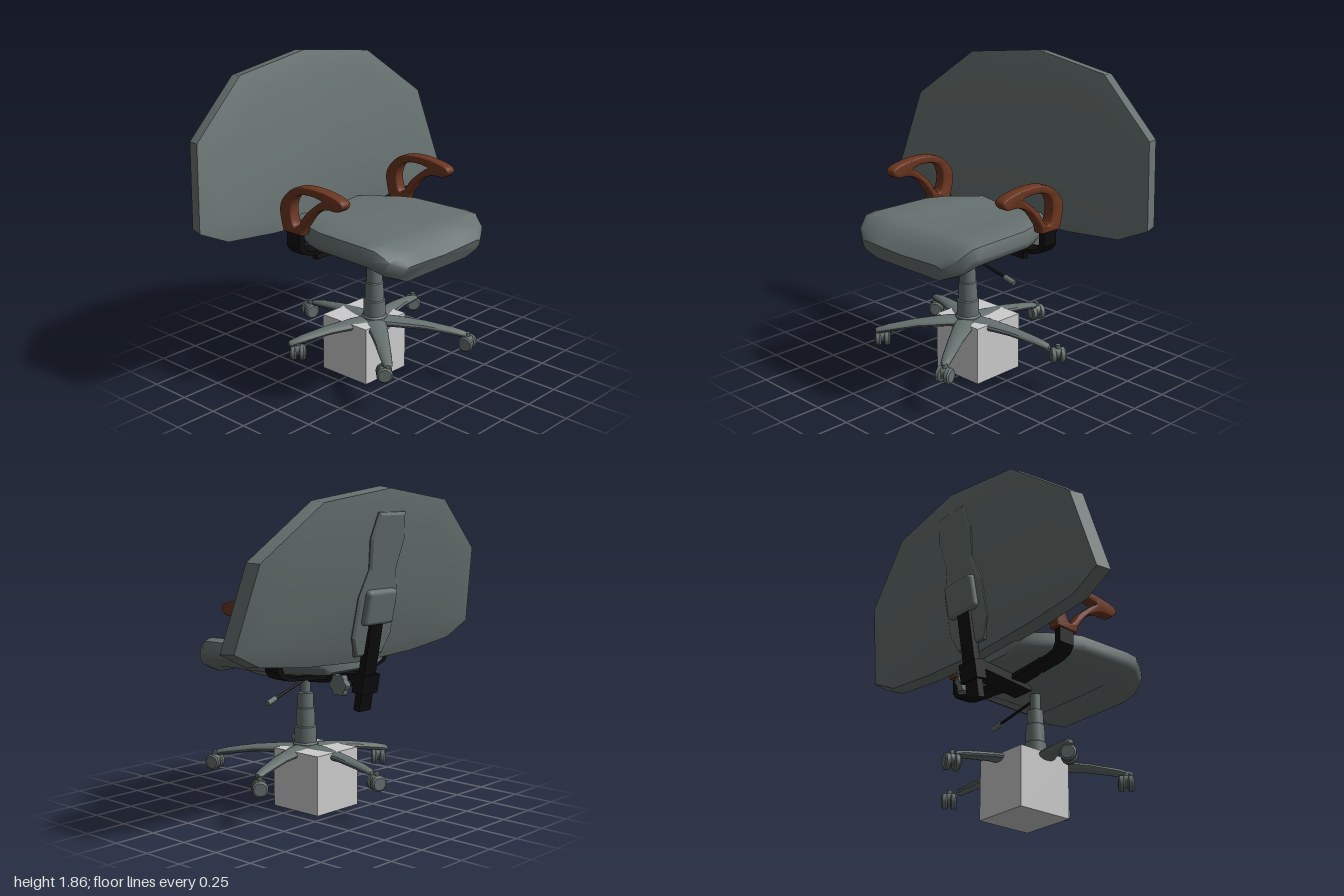
import * as THREE from 'three';
import { toCreasedNormals } from 'three/addons/utils/BufferGeometryUtils.js';
import { RoundedBoxGeometry } from 'three/addons/geometries/RoundedBoxGeometry.js';

const mat = (name, color) => {
  const m = new THREE.MeshStandardMaterial({ color });
  m.name = name;
  return m;
};

// Skin a list of equal-length closed rings, capped at both ends.
function loft(rings, crease = 0.6) {
  const n = rings[0].length, pos = rings.flat(2), idx = [];
  for (let i = 0; i < rings.length - 1; i++) {
    for (let j = 0; j < n; j++) {
      const a = i * n + j, b = i * n + (j + 1) % n;
      idx.push(a, b, b + n, a, b + n, a + n);
    }
  }
  const end = (rings.length - 1) * n;
  for (let j = 1; j < n - 1; j++) idx.push(0, j + 1, j, end, end + j, end + j + 1);
  // turn the faces outward if the enclosed volume is negative
  const p = i => new THREE.Vector3().fromArray(pos, i * 3);
  let volume = 0;
  for (let i = 0; i < idx.length; i += 3) volume += p(idx[i]).dot(p(idx[i + 1]).cross(p(idx[i + 2])));
  if (volume < 0) idx.reverse();
  const g = new THREE.BufferGeometry();
  g.setAttribute('position', new THREE.Float32BufferAttribute(pos, 3));
  g.setIndex(idx);
  return toCreasedNormals(g, crease);
}

const rect = (w, y, z0, z1) => [[-w, y, z0], [w, y, z0], [w, y, z1], [-w, y, z1]];
const vec2 = pts => pts.map(p => new THREE.Vector2(...p));

export function createModel() {
  const grey = mat('greyFabric', 0x66716f);
  const black = mat('blackMetal', 0x0c0c0c);
  const brown = mat('brownArm', 0x6c3620);
  const pale = mat('paleBlock', 0xcccccc);

  const model = new THREE.Group();
  model.name = 'officeChair';
  const chair = new THREE.Group();
  chair.name = 'chair';
  chair.position.x = -0.01;
  model.add(chair);

  const add = (name, geo, material, pos = [0, 0, 0], parent = chair) => {
    const m = new THREE.Mesh(geo, material);
    m.name = name;
    m.position.set(...pos);
    parent.add(m);
    return m;
  };
  // cylinder stretched between two points
  const rod = (name, a, b, r, material, sides = 12) => {
    const A = new THREE.Vector3(...a), d = new THREE.Vector3(...b).sub(A);
    const m = add(name, new THREE.CylinderGeometry(r, r, d.length(), sides), material);
    m.position.copy(A).addScaledVector(d, 0.5);
    m.quaternion.setFromUnitVectors(new THREE.Vector3(0, 1, 0), d.normalize());
    return m;
  };

  // wide leaning backrest
  const half = [[0, 1.86], [0.52, 1.79], [0.91, 1.49], [1, 1.03], [0.81, 0.94], [0.45, 0.9], [0, 0.88]];
  const outline = [...half, ...half.slice(1, -1).reverse().map(([x, y]) => [-x, y])];
  const backRings = [[0.01, 0], [0.8, 0], [1, -0.02], [0.98, -0.1], [0.76, -0.122], [0.01, -0.125]]
    .map(([s, dz]) => outline.map(([px, py]) => {
      const x = px * s, y = 1.3 + (py - 1.3) * s;
      return [x, y, -0.27 - 0.207 * (y - 0.87) + 0.03 * x * x + dz];
    }));
  add('backrest', loft(backRings), grey, [0, 0, 0], model);

  // raised spine and bracket on the rear of the backrest
  const rear = new THREE.Group();
  rear.name = 'backrestRear';
  rear.position.set(0, 0.87, -0.27);
  rear.rotation.x = -0.204;
  chair.add(rear);
  const spine = [[0.1, 0.1], [0.15, 0.2], [0.15, 0.42], [0.1, 0.58], [0.13, 0.75], [0.1, 0.88]];
  const spineShape = new THREE.Shape(vec2([...spine, ...spine.map(([x, y]) => [-x, y]).reverse()]));
  add('spinePanel', new THREE.ExtrudeGeometry(spineShape, {
    depth: 0.02, bevelEnabled: true, bevelSize: 0.015, bevelThickness: 0.01, bevelSegments: 1,
  }), grey, [0, 0, -0.125], rear);
  add('backBracket', new RoundedBoxGeometry(0.24, 0.2, 0.1, 3, 0.025), grey, [0, 0.37, -0.12], rear);

  // back post and tilt mechanism
  add('backPost', new THREE.BoxGeometry(0.1, 0.56, 0.042), black, [0, 0.89, -0.415]).rotation.x = -0.17;
  add('postClamp', new THREE.BoxGeometry(0.14, 0.11, 0.07), black, [0, 0.77, -0.395]).rotation.x = -0.17;
  add('tiltBar', new THREE.BoxGeometry(0.14, 0.05, 0.36), black, [0, 0.783, -0.2]).rotation.x = 0.1;
  rod('knobShaft', [0, 0.77, -0.33], [0.13, 0.77, -0.33], 0.02, black);
  const lobes = new THREE.Shape(vec2(Array.from({ length: 36 }, (_, i) => {
    const a = i / 36 * Math.PI * 2, r = 0.053 + 0.006 * Math.cos(6 * a);
    return [r * Math.cos(a), r * Math.sin(a)];
  })));
  add('tensionKnob', new THREE.ExtrudeGeometry(lobes, {
    depth: 0.03, bevelSize: 0.006, bevelThickness: 0.006, bevelSegments: 2,
  }), grey, [0.13, 0.77, -0.33]).rotation.y = Math.PI / 2;

  // seat cushion: [top z, top y, bottom z, bottom y, half width]
  const seatRings = [
    [-0.31, 0.93, -0.31, 0.84, 0.25], [-0.29, 0.965, -0.29, 0.825, 0.28],
    [-0.07, 0.985, -0.07, 0.82, 0.41], [0.04, 0.99, 0.04, 0.82, 0.45],
    [0.38, 0.99, 0.34, 0.82, 0.465], [0.46, 0.985, 0.41, 0.815, 0.46],
    [0.54, 0.925, 0.48, 0.785, 0.42], [0.585, 0.875, 0.53, 0.765, 0.34],
  ].map(([zt, yt, zb, yb, w]) => {
    const side = [[0, 0.88], [0.45, 0.91], [0.84, 1], [0.95, 0.9], [1, 0.55], [0.97, 0.32], [0.75, 0], [0, 0]];
    return [...side, ...side.slice(1, -1).reverse().map(([u, t]) => [-u, t])]
      .map(([u, t]) => [u * w, yb + (yt - yb) * t, zb + (zt - zb) * t]);
  });
  add('seatCushion', loft(seatRings, 0.75), grey);
  add('seatPan', loft([rect(0.3, 0.825, 0.36, -0.17), rect(0.17, 0.76, 0.27, -0.02)]), grey);

  // armrests on bent black straps
  const armShape = new THREE.Shape();
  armShape.moveTo(-0.19, 0.945);
  armShape.lineTo(-0.05, 0.945);
  armShape.lineTo(-0.04, 0.985);
  armShape.splineThru(vec2([[0.03, 1.075], [0.09, 1.115], [0.15, 1.137], [0.23, 1.142], [0.265, 1.18],
    [0.23, 1.21], [0.13, 1.23], [0.03, 1.235], [-0.06, 1.225], [-0.13, 1.195], [-0.195, 1.13], [-0.215, 1.06], [-0.19, 0.945]]));
  const hole = new THREE.Path();
  hole.moveTo(0.11, 1.178);
  hole.splineThru(vec2([[0.05, 1.188], [-0.03, 1.185], [-0.1, 1.155], [-0.13, 1.08], [-0.11, 0.995],
    [-0.07, 1.005], [-0.02, 1.075], [0.055, 1.14], [0.11, 1.178]]));
  armShape.holes.push(hole);
  const armGeo = toCreasedNormals(new THREE.ExtrudeGeometry(armShape, {
    depth: 0.046, bevelSize: 0.008, bevelOffset: -0.008, bevelThickness: 0.012, bevelSegments: 3, curveSegments: 36,
  }).translate(0, 0, -0.023).rotateY(-Math.PI / 2), 0.7);
  const strapShape = new THREE.Shape(vec2([[0.43, 0.95], [0.47, 0.95], [0.47, 0.86], [0.44, 0.82], [0.38, 0.8],
    [0.05, 0.77], [0.05, 0.8], [0.36, 0.82], [0.41, 0.835], [0.43, 0.87]]));
  for (const s of [-1, 1]) {
    const side = s > 0 ? 'left' : 'right';
    add(side + 'Armrest', armGeo, brown, [0.445 * s, 0, 0]);
    const strap = add(side + 'ArmStrap', new THREE.ExtrudeGeometry(strapShape, { depth: 0.1, bevelEnabled: false }),
      black, [0, 0, s > 0 ? -0.17 : -0.07]);
    if (s < 0) strap.rotation.y = Math.PI;
  }

  // height lever
  rod('lever', [0.03, 0.73, 0.065], [0.29, 0.66, 0.04], 0.008, black);
  rod('leverHandle', [0.275, 0.665, 0.042], [0.345, 0.645, 0.035], 0.016, grey);

  // stepped gas column
  const column = [[0, 0.33], [0.075, 0.33], [0.075, 0.36], [0.066, 0.37], [0.064, 0.46], [0.057, 0.465], [0.053, 0.57],
    [0.048, 0.575], [0.045, 0.66], [0.03, 0.665], [0.03, 0.79], [0, 0.79]];
  add('gasColumn', toCreasedNormals(new THREE.LatheGeometry(vec2(column), 24), 0.6), grey, [0, 0, 0.065]);

  // five-arm base
  const base = new THREE.Group();
  base.name = 'base';
  base.position.z = 0.065;
  chair.add(base);
  add('hub', new THREE.CylinderGeometry(0.075, 0.1, 0.06, 24), grey, [0, 0.325, 0], base);
  const legRings = [[0, 0.065, 0.36, 0.3], [0.12, 0.06, 0.358, 0.3], [0.3, 0.045, 0.342, 0.295],
    [0.46, 0.034, 0.316, 0.272], [0.53, 0.026, 0.298, 0.262], [0.545, 0.014, 0.29, 0.266]]
    .map(([z, w, top, bottom]) => Array.from({ length: 12 }, (_, i) => {
      const a = i / 12 * Math.PI * 2;
      return [w * Math.cos(a), (top + bottom) / 2 + (top - bottom) / 2 * Math.sin(a), z];
    }));
  const legGeo = loft(legRings);
  for (let i = 0; i < 5; i++) {
    add('baseLeg', legGeo, grey, [0, 0, 0], base).rotation.y = (32 + 72 * i) * Math.PI / 180;
  }

  // twin-wheel casters: [x, z, swivel]
  const wheelProfile = vec2([[0, -0.018], [0.036, -0.018], [0.046, -0.01], [0.046, 0.01], [0.036, 0.018], [0, 0.018]]);
  const wheelGeo = toCreasedNormals(new THREE.LatheGeometry(wheelProfile, 20).rotateZ(Math.PI / 2), 0.6);
  for (const [x, z, turn] of [[0.295, 0.53, 0.3], [0.555, -0.11, 0.9], [0.03, -0.5, 1.2], [-0.46, -0.11, -0.9], [-0.335, 0.44, 0.8]]) {
    const caster = new THREE.Group();
    caster.name = 'caster';
    caster.position.set(x, 0.225, z);
    caster.rotation.y = turn;
    chair.add(caster);
    for (const s of [-1, 1]) add('wheel', wheelGeo, grey, [0.026 * s, 0, 0], caster);
    add('casterHousing', new THREE.CylinderGeometry(0.034, 0.034, 0.03, 16).rotateZ(Math.PI / 2), grey, [0, 0.012, 0], caster);
    add('casterStem', new THREE.CylinderGeometry(0.015, 0.015, 0.06, 10), grey, [0, 0.035, 0], caster);
  }

  // plain block under the base
  add('supportBlock', new THREE.BoxGeometry(0.345, 0.345, 0.345), pale, [0, 0.1725, -0.017]);
  return model;
}
